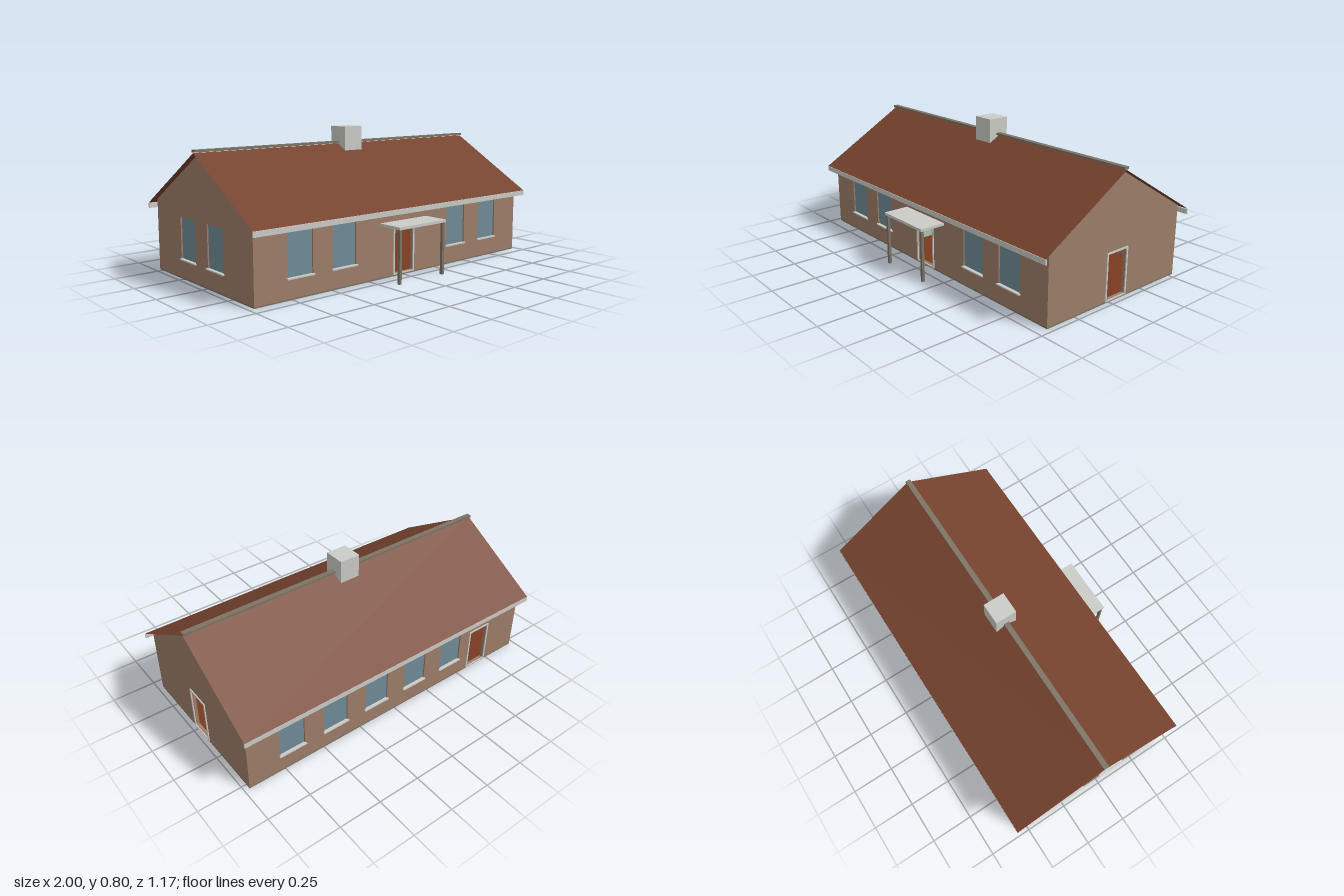
import * as THREE from 'three';

const mat = (name, color, side = THREE.FrontSide) => {
  const m = new THREE.MeshStandardMaterial({ color, side });
  m.name = name;
  return m;
};
const M = {
  wall: mat('brick', 0x9d7d69),
  roof: mat('roofTile', 0x76432e, THREE.DoubleSide),
  white: mat('paleTrim', 0xcacac6),
  stone: mat('greyStone', 0x7c7364),
  glass: mat('glass', 0x708a96),
  floor: mat('rustFloor', 0x78391f),
  green: mat('greenPlaster', 0xa8c4ad),
};

// House dimensions
const HX = 0.97, HZ = 0.485, BASE = 0.005, EAVE = 0.408, RIDGE = 0.695, T = 0.02;
const WIN = { w: 0.155, y0: 0.115, y1: 0.345 };
const DOOR = { w: 0.14, y0: 0.02, y1: 0.272 };

function box(parent, name, material, x0, x1, y0, y1, z0, z1) {
  const mesh = new THREE.Mesh(new THREE.BoxGeometry(x1 - x0, y1 - y0, z1 - z0), material);
  mesh.position.set((x0 + x1) / 2, (y0 + y1) / 2, (z0 + z1) / 2);
  mesh.name = name;
  parent.add(mesh);
  return mesh;
}

function rectHole(u, w, y0, y1) {
  const p = new THREE.Path();
  p.moveTo(u - w / 2, y0);
  p.lineTo(u - w / 2, y1);
  p.lineTo(u + w / 2, y1);
  p.lineTo(u + w / 2, y0);
  p.closePath();
  return p;
}

// One wall with its openings; its outer face lies at local z = 0
function makeWall(name, half, gable, windows, doors) {
  const g = new THREE.Group();
  g.name = name;
  const s = new THREE.Shape();
  s.moveTo(-half, BASE + 0.008);
  s.lineTo(half, BASE + 0.008);
  s.lineTo(half, EAVE);
  if (gable) s.lineTo(0, RIDGE);
  s.lineTo(-half, EAVE);
  s.closePath();
  windows.forEach(u => s.holes.push(rectHole(u, WIN.w, WIN.y0, WIN.y1)));
  doors.forEach(u => s.holes.push(rectHole(u, DOOR.w, DOOR.y0, DOOR.y1)));
  const geo = new THREE.ExtrudeGeometry(s, { depth: T, bevelEnabled: false });
  geo.translate(0, 0, -T);
  const wall = new THREE.Mesh(geo, M.wall);
  wall.name = 'wallPanel';
  g.add(wall);

  // Recessed panes and projecting sills
  windows.forEach(u => {
    const h = WIN.w / 2;
    box(g, 'windowPane', M.glass, u - h, u + h, WIN.y0, WIN.y1, -0.015, -0.008);
    box(g, 'windowSill', M.white, u - h - 0.006, u + h + 0.006, 0.11, 0.117, -0.008, 0.011);
  });

  // Open doorways with a pale frame
  doors.forEach(u => {
    const a = DOOR.w / 2, b = a + 0.009;
    const f = new THREE.Shape();
    f.moveTo(u - b, 0.014);
    f.lineTo(u + b, 0.014);
    f.lineTo(u + b, DOOR.y1 + 0.008);
    f.lineTo(u - b, DOOR.y1 + 0.008);
    f.closePath();
    f.holes.push(rectHole(u, DOOR.w - 0.002, 0.021, DOOR.y1 - 0.001));
    const frameGeo = new THREE.ExtrudeGeometry(f, { depth: 0.006, bevelEnabled: false });
    const frame = new THREE.Mesh(frameGeo, M.white);
    frame.name = 'doorFrame';
    g.add(frame);
  });
  return g;
}

export function createModel() {
  const model = new THREE.Group();
  model.name = 'house';
  const house = new THREE.Group();
  house.name = 'building';
  house.position.z = -0.048;
  model.add(house);

  // Foundation slab and interior surfaces
  box(house, 'foundation', M.stone, -HX, HX, BASE, BASE + 0.008, -HZ, HZ);
  const ix = HX - T, iz = HZ - T;
  box(house, 'floor', M.floor, -ix, ix, 0.013, 0.02, -iz, iz);
  box(house, 'ceiling', M.white, -ix, ix, 0.395, 0.403, -iz, iz);
  box(house, 'partition', M.green, -0.34, -0.33, 0.02, 0.395, -iz, iz);

  // Four outer walls
  const front = makeWall('frontWall', HX, false, [-0.7, -0.42, 0.42, 0.7], [0]);
  front.position.z = HZ;
  const back = makeWall('backWall', HX, false, [-0.7, -0.42, -0.14, 0.14, 0.42], [0.65]);
  back.position.z = -HZ;
  back.rotation.y = Math.PI;
  const left = makeWall('leftGable', HZ, true, [], [0]);
  left.position.x = HX;
  left.rotation.y = Math.PI / 2;
  const right = makeWall('rightGable', HZ, true, [-0.14, 0.14], []);
  right.position.x = -HX;
  right.rotation.y = -Math.PI / 2;
  house.add(front, back, left, right);

  // Thin roof slopes with overhang, and eaves boards
  const angle = Math.atan2(RIDGE - EAVE, HZ);
  const run = 0.535, len = run / Math.cos(angle), top = RIDGE + 0.005;
  for (const s of [1, -1]) {
    const geo = new THREE.PlaneGeometry(2, len);
    geo.translate(0, -len / 2, 0);
    geo.rotateX(angle - Math.PI / 2);
    if (s < 0) geo.rotateY(Math.PI);
    const slope = new THREE.Mesh(geo, M.roof);
    slope.position.y = top;
    slope.name = s > 0 ? 'frontRoof' : 'backRoof';
    house.add(slope);
    const z = s * (run - 0.003);
    box(house, 'eavesBoard', M.white, -1, 1, 0.354, 0.382, z - 0.004, z + 0.004);
  }
  box(house, 'ridgeCap', M.stone, -1, 1, 0.703, 0.716, -0.015, 0.015);
  box(house, 'chimney', M.white, -0.063, 0.063, 0.64, 0.8, -0.063, 0.063);

  // Entrance canopy on two posts
  box(model, 'canopy', M.white, -0.175, 0.175, 0.296, 0.311, 0.437, 0.588);
  for (const s of [1, -1]) {
    const x = s * 0.162;
    box(model, 'canopyPost', M.stone, x - 0.008, x + 0.008, BASE, 0.296, 0.567, 0.583);
  }
  return model;
}
